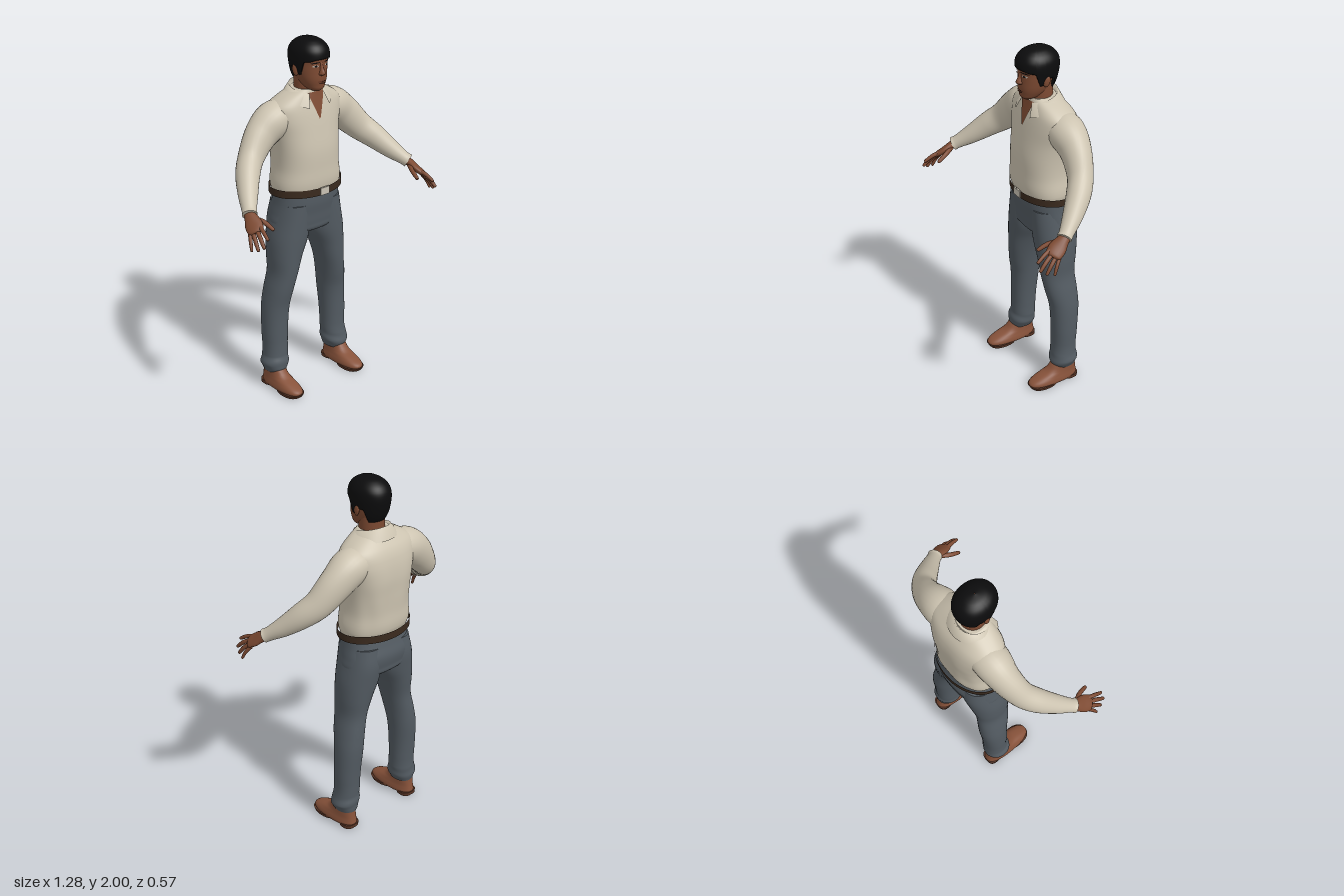
import * as THREE from 'three';

const mat = (name, color, side = THREE.FrontSide) => {
  const m = new THREE.MeshStandardMaterial({ color, side });
  m.name = name;
  return m;
};

// Indexed mesh from rows of equally many points; closed rows wrap round
function skin(rows, closed) {
  const n = rows[0].length, index = [];
  for (let j = 0; j < rows.length - 1; j++) {
    for (let i = 0; i < (closed ? n : n - 1); i++) {
      const a = j * n + i, b = j * n + (i + 1) % n;
      index.push(a, b, a + n, b, b + n, a + n);
    }
  }
  const g = new THREE.BufferGeometry();
  g.setAttribute('position', new THREE.Float32BufferAttribute(rows.flat(2), 3));
  g.setIndex(index);
  g.computeVertexNormals();
  return g;
}

// Close both ends of a stack of rings with a sharp edge
function capped(rows) {
  const cap = (row) => {
    const c = [0, 1, 2].map((k) => row.reduce((s, p) => s + p[k], 0) / row.length);
    return row.map(() => c);
  };
  const first = rows[0], last = rows[rows.length - 1];
  return [cap(first), first, ...rows, last, cap(last)];
}

// Upright body described by sections [y, centre x, half width, front z, back z]
function body(sections, e = 2) {
  const curve = new THREE.CubicInterpolant(sections.map((s) => s[0]), sections.flatMap((s) => s.slice(1)), 4);
  const at = (y) => Array.from(curve.evaluate(y));
  const pw = (v) => Math.sign(v) * Math.abs(v) ** (2 / e);
  const point = (y, t, k = 1) => {
    const [cx, rx, zf, zb] = at(y);
    return [cx + k * rx * pw(Math.sin(t)), y, (zf + zb) / 2 + k * (zf - zb) / 2 * pw(Math.cos(t))];
  };
  const front = (x, y) => {
    const [cx, rx, zf, zb] = at(y);
    return (zf + zb) / 2 + (zf - zb) / 2 * Math.max(0, 1 - Math.abs((x - cx) / rx) ** e) ** (1 / e);
  };
  const geometry = (n = 40, fold = () => 1, steps = 5) => {
    const rows = [];
    sections.forEach((s, i) => {
      const next = sections[i + 1];
      for (let k = 0; k < (next ? steps : 1); k++) {
        const y = next ? s[0] + (next[0] - s[0]) * k / steps : s[0];
        rows.push(Array.from({ length: n }, (_, a) => {
          const t = a / n * Math.PI * 2;
          return point(y, t, fold(t, y));
        }));
      }
    });
    return skin(capped(rows), true);
  };
  return { point, front, geometry };
}

// Limb through points [x, y, z, half width, half thickness], flattened along `up`
function limb(points, s, up = [0, 1, 0], n = 18, steps = 6) {
  const path = new THREE.CatmullRomCurve3(points.map((p) => new THREE.Vector3(p[0] * s, p[1], p[2])), false, 'catmullrom');
  const size = new THREE.CatmullRomCurve3(points.map((p) => new THREE.Vector3(p[3], p[4] ?? p[3], 0)), false, 'catmullrom');
  const u = new THREE.Vector3(up[0] * s, up[1], up[2]), rows = [], count = (points.length - 1) * steps;
  for (let j = 0; j <= count; j++) {
    const p = path.getPoint(j / count), r = size.getPoint(j / count), T = path.getTangent(j / count);
    const N = u.clone().addScaledVector(T, -u.dot(T)).normalize(), B = T.clone().cross(N);
    rows.push(Array.from({ length: n }, (_, a) => {
      const t = a / n * Math.PI * 2;
      return p.clone().addScaledVector(N, r.y * Math.cos(t)).addScaledVector(B, r.x * Math.sin(t)).toArray();
    }));
  }
  return skin(capped(rows), true);
}

// Thin painted patch lying on the front of a body
function patch(surface, cx, y0, y1, halfWidth, offset, tilt = 0) {
  const rows = [];
  for (let j = 0; j <= 12; j++) {
    rows.push(Array.from({ length: 13 }, (_, i) => {
      const dx = (i / 6 - 1) * halfWidth(j / 12), y = y0 + (y1 - y0) * j / 12 + dx * tilt;
      return [cx + dx, y, surface.front(cx + dx, y) + offset];
    }));
  }
  return skin(rows, false);
}
const oval = (w) => (v) => w * Math.sqrt(Math.max(0, 1 - (2 * v - 1) ** 2));

export function createModel() {
  const model = new THREE.Group();
  const shirt = mat('cream shirt', 0xcdc4b1, THREE.DoubleSide), trousers = mat('slate trousers', 0x535b62);
  const flesh = mat('brown skin', 0x7d4a32), hairMat = mat('black hair', 0x0c0c0d, THREE.DoubleSide);
  const leather = mat('dark belt leather', 0x3a2a1e, THREE.DoubleSide), shoeMat = mat('tan shoe leather', 0x87523a);
  const soleMat = mat('shoe sole', 0x5a3626), white = mat('eye white', 0xb9b0a6);
  const lipMat = mat('lip', 0x653627), metal = mat('buckle metal', 0xc9c2b4);
  const add = (name, geometry, material) => {
    const m = new THREE.Mesh(geometry, material);
    m.name = name;
    model.add(m);
    return m;
  };

  // Shirt body with soft folds and a shallow spine groove
  const torso = body([
    [1.15, 0, 0.19, 0.012, -0.245], [1.2, 0, 0.2, 0.028, -0.265], [1.3, 0, 0.188, 0.03, -0.27],
    [1.4, 0, 0.19, 0.028, -0.278], [1.5, 0, 0.203, 0.014, -0.282], [1.6, 0, 0.225, -0.004, -0.266],
    [1.65, 0, 0.215, -0.016, -0.245], [1.69, 0, 0.16, -0.026, -0.215], [1.73, 0, 0.08, -0.035, -0.18]], 2.4);
  add('shirtBody', torso.geometry(64, (t, y) => {
    const back = Math.max(0, -Math.cos(t));
    const groove = 0.05 * Math.exp(-(((t - Math.PI) / 0.22) ** 2)) * Math.exp(-(((y - 1.45) / 0.15) ** 2));
    return 1 + 0.012 * back * Math.sin(t * 9 + y * 7) * Math.exp(-(((y - 1.32) / 0.15) ** 2)) - groove;
  }), shirt);
  add('openNeckline', patch(torso, 0, 1.575, 1.715, (v) => 0.003 + 0.052 * v, 0.005), flesh);

  // Folded collar, open at the front
  const collar = [0, 1, 2].map((j) => Array.from({ length: 41 }, (_, i) => {
    const t = 0.5 + (Math.PI * 2 - 1) * i / 40, f = (1 + Math.cos(t)) / 2;
    const [rx, rz, y] = [[0.14, 0.122, 1.69 - 0.06 * f ** 3], [0.094, 0.09, 1.755 - 0.045 * f], [0.078, 0.075, 1.72 - 0.04 * f]][j];
    return [rx * Math.sin(t), y, -0.105 + rz * Math.cos(t)];
  }));
  add('collar', skin(collar, false), shirt);

  // Belt standing off the waist, with buckle
  const ring = (y) => Array.from({ length: 64 }, (_, i) => {
    const t = i / 32 * Math.PI;
    return [0.22 * Math.sin(t) + 0.004, y, -0.122 + 0.16 * Math.cos(t)];
  });
  add('belt', skin([ring(1.152), ring(1.195)], true), leather);
  add('buckle', new THREE.BoxGeometry(0.06, 0.042, 0.01), metal).position.set(0.005, 1.1735, 0.038);

  // Hips
  add('trouserHips', body([
    [0.915, 0, 0.08, -0.05, -0.19], [0.94, 0, 0.19, -0.01, -0.245], [0.98, 0, 0.216, 0, -0.258],
    [1.04, 0, 0.21, 0.006, -0.266], [1.1, 0, 0.2, 0.014, -0.252], [1.17, 0, 0.194, 0.014, -0.236]], 2.3).geometry(48), trousers);

  // Neck and head
  add('neck', body([[1.58, 0, 0.06, -0.05, -0.17], [1.7, 0, 0.069, -0.036, -0.168], [1.82, 0, 0.068, -0.03, -0.17]]).geometry(32), flesh);
  const head = body([
    [1.722, 0, 0.02, -0.005, -0.05], [1.735, 0, 0.042, 0.01, -0.085], [1.76, 0, 0.062, 0.016, -0.125],
    [1.79, 0, 0.075, 0.02, -0.15], [1.83, 0, 0.083, 0.019, -0.17], [1.87, 0, 0.086, 0.018, -0.18],
    [1.91, 0, 0.086, 0.022, -0.183], [1.95, 0, 0.076, 0.008, -0.17], [1.98, 0, 0.045, -0.03, -0.13]], 2.15);
  add('head', head.geometry(48), flesh);
  add('nose', body([[1.811, 0, 0.009, 0.022, 0], [1.82, 0, 0.019, 0.039, 0], [1.83, 0, 0.016, 0.041, 0],
    [1.85, 0, 0.011, 0.031, 0], [1.885, 0, 0.01, 0.02, 0]]).geometry(20), flesh);
  add('upperLip', patch(head, 0, 1.777, 1.786, oval(0.026), 0.005), lipMat);
  add('lowerLip', patch(head, 0, 1.767, 1.776, oval(0.022), 0.006), lipMat);

  // Hair cap with a shaped hairline, tucked in at the lower edge
  const hair = body([
    [1.77, 0, 0.074, 0, -0.165], [1.81, 0, 0.088, 0.015, -0.186], [1.85, 0, 0.094, 0.026, -0.198], [1.91, 0, 0.099, 0.035, -0.204],
    [1.95, 0, 0.09, 0.025, -0.192], [1.98, 0, 0.063, -0.005, -0.16], [1.994, 0, 0.034, -0.04, -0.125], [2, 0, 0.002, -0.08, -0.084]], 2.1);
  const line = (t) => {
    const a = Math.abs(t > Math.PI ? t - Math.PI * 2 : t);
    const ss = THREE.MathUtils.smoothstep;
    return 1.902 - 0.012 * ss(a, 0.3, 0.9) - 0.075 * ss(a, 1.0, 1.25) + 0.035 * ss(a, 1.45, 1.6) - 0.072 * ss(a, 1.9, 2.3);
  };
  add('hair', skin(Array.from({ length: 24 }, (_, j) => Array.from({ length: 72 }, (_, i) => {
    const t = i / 36 * Math.PI, v = Math.max(0, j - 1) / 22;
    return hair.point(2 - (2 - line(t)) * (1 - v) ** 2, t, j === 0 ? 0.84 : 1);
  })), true), hairMat);

  for (const s of [1, -1]) {
    const side = s > 0 ? 'left' : 'right';

    // Eyes, brows and ears
    add(side + 'Eye', patch(head, s * 0.036, 1.86, 1.871, oval(0.016), 0.003), white);
    add(side + 'Iris', patch(head, s * 0.036, 1.86, 1.871, oval(0.007), 0.005), hairMat);
    add(side + 'Brow', patch(head, s * 0.038, 1.88, 1.887, oval(0.023), 0.004, -s * 0.1), hairMat);
    const ear = add(side + 'Ear', new THREE.SphereGeometry(1, 16, 12), flesh);
    ear.scale.set(0.011, 0.032, 0.019);
    ear.position.set(s * 0.09, 1.838, -0.085);
    ear.rotation.set(-0.2, s * -0.3, 0);

    // Sleeve
    add(side + 'Sleeve', limb([
      [0.08, 1.6, -0.14, 0.09, 0.07], [0.19, 1.575, -0.142, 0.1, 0.1], [0.285, 1.51, -0.138, 0.082, 0.094],
      [0.375, 1.418, -0.108, 0.068, 0.078], [0.44, 1.355, -0.055, 0.064, 0.068], [0.5, 1.285, 0.02, 0.052, 0.052],
      [0.545, 1.235, 0.085, 0.039, 0.037], [0.56, 1.22, 0.108, 0.04, 0.037]], s, [0, 1, 0], 28), shirt);

    // Hand: palm, four fingers and thumb
    const up = [0.6, 0.75, 0.3];
    add(side + 'Palm', limb([
      [0.553, 1.227, 0.09, 0.028, 0.024], [0.563, 1.21, 0.12, 0.034, 0.022], [0.574, 1.187, 0.155, 0.046, 0.02],
      [0.588, 1.166, 0.19, 0.042, 0.016], [0.592, 1.158, 0.2, 0.028, 0.009]], s, up), flesh);
    const finger = (name, a, b, c, r) => add(side + name, limb(
      [[...a, r], [...b, r * 0.95], [...c.map((v, k) => b[k] + (v - b[k]) * 0.88), r * 0.72], [...c, r * 0.25]], s, up, 10, 4), flesh);
    finger('IndexFinger', [0.562, 1.187, 0.183], [0.574, 1.172, 0.232], [0.583, 1.143, 0.282], 0.0115);
    finger('MiddleFinger', [0.58, 1.172, 0.185], [0.596, 1.143, 0.237], [0.606, 1.103, 0.28], 0.012);
    finger('RingFinger', [0.596, 1.157, 0.178], [0.612, 1.125, 0.217], [0.62, 1.083, 0.25], 0.0115);
    finger('LittleFinger', [0.606, 1.149, 0.164], [0.622, 1.115, 0.19], [0.632, 1.072, 0.21], 0.01);
    finger('Thumb', [0.55, 1.205, 0.125], [0.522, 1.19, 0.178], [0.508, 1.162, 0.236], 0.0135);

    // Trouser leg with a rumpled cuff
    const leg = body([
      [0.1, s * 0.222, 0.055, -0.062, -0.198], [0.125, s * 0.222, 0.068, -0.052, -0.203], [0.15, s * 0.222, 0.077, -0.052, -0.205],
      [0.2, s * 0.215, 0.071, -0.062, -0.202], [0.35, s * 0.212, 0.072, -0.064, -0.21], [0.5, s * 0.202, 0.074, -0.056, -0.222],
      [0.6, s * 0.187, 0.073, -0.035, -0.22], [0.7, s * 0.166, 0.074, -0.02, -0.216], [0.8, s * 0.15, 0.09, -0.012, -0.23],
      [0.9, s * 0.126, 0.109, -0.004, -0.245], [1, s * 0.112, 0.104, 0, -0.256], [1.1, s * 0.1, 0.095, 0.002, -0.245]], 2.15);
    add(side + 'TrouserLeg', leg.geometry(36, (t, y) => 1 + 0.025 * Math.sin(y * 95 + 2 * Math.sin(t + s)) * Math.exp(-(((y - 0.17) / 0.07) ** 2))), trousers);

    // Shoe with separate heel and front sole
    const x = s * 0.226;
    add(side + 'Shoe', body([
      [0.014, x, 0.055, 0.09, -0.203], [0.026, x, 0.06, 0.098, -0.208], [0.042, x, 0.058, 0.086, -0.206],
      [0.06, x, 0.053, 0.045, -0.203], [0.08, x, 0.049, -0.012, -0.2], [0.12, x, 0.046, -0.055, -0.196]], 2.4).geometry(36), shoeMat);
    add(side + 'FrontSole', body([[0, x, 0.057, 0.088, -0.075], [0.018, x, 0.061, 0.099, -0.085]], 2.4).geometry(32), soleMat);
    add(side + 'Heel', body([[0, x, 0.048, -0.12, -0.208], [0.022, x, 0.05, -0.11, -0.21]], 2.8).geometry(32), soleMat);
  }
  return model;
}
